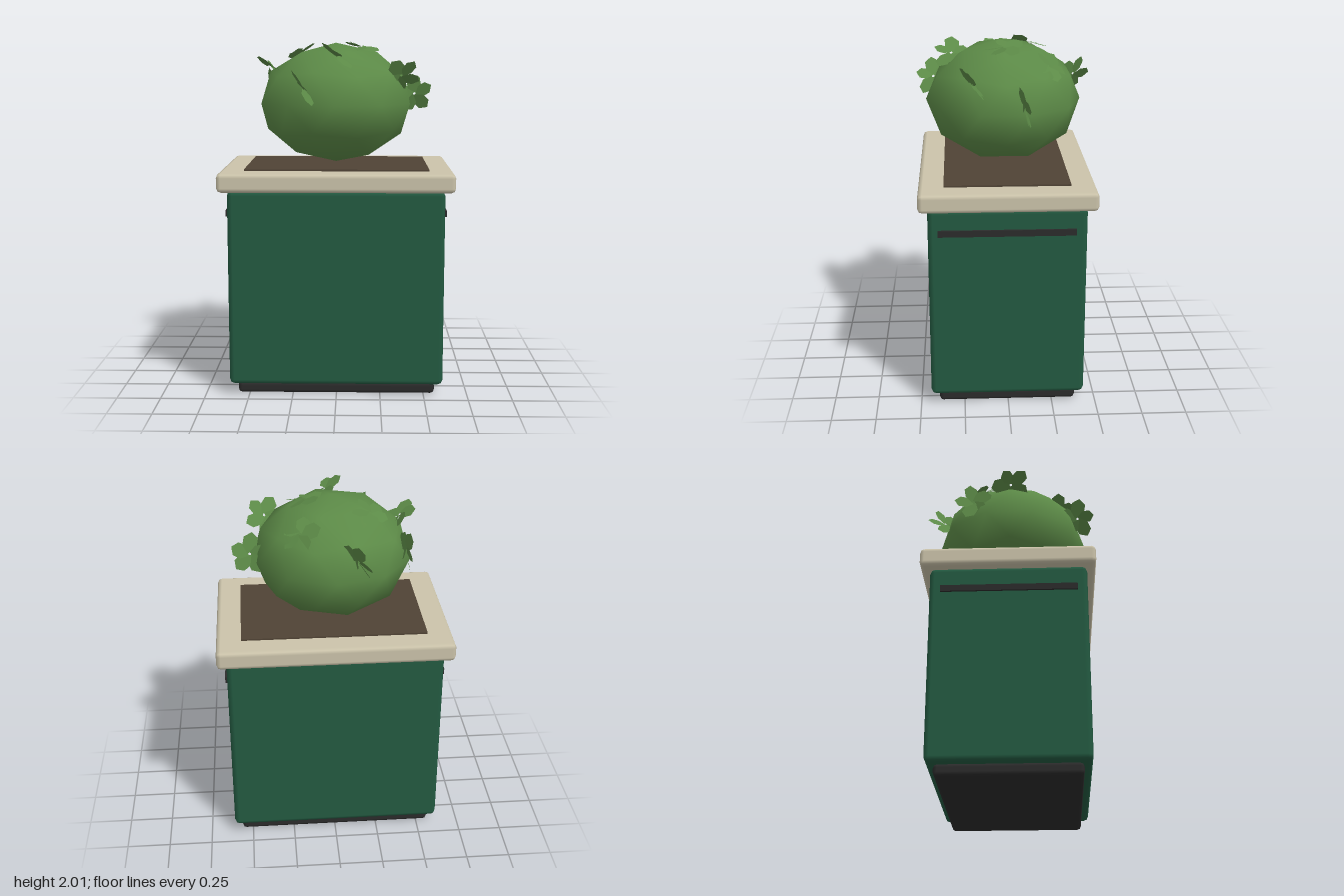
import * as THREE from 'three';
import { RoundedBoxGeometry } from 'three/addons/geometries/RoundedBoxGeometry.js';
import { mergeVertices, mergeGeometries } from 'three/addons/utils/BufferGeometryUtils.js';

const material = (color, extra = {}) => new THREE.MeshStandardMaterial({ color, ...extra });

function addMesh(parent, name, geometry, mat) {
  const mesh = new THREE.Mesh(geometry, mat);
  mesh.name = name;
  parent.add(mesh);
  return mesh;
}

// Chamfered box given by its lower and upper corners
function chamferedBox(parent, name, min, max, bevel, mat) {
  const size = max.map((v, i) => v - min[i]);
  const mesh = addMesh(parent, name, new RoundedBoxGeometry(...size, 1, bevel), mat);
  mesh.position.set(...max.map((v, i) => (v + min[i]) / 2));
  return mesh;
}

// Low-poly ball with a vertex pointing straight up, smooth normals
function foliageGeometry() {
  const ball = new THREE.IcosahedronGeometry(1, 1);
  ball.deleteAttribute('uv');
  ball.deleteAttribute('normal');
  const geometry = mergeVertices(ball, 1e-4);
  geometry.rotateZ(-Math.atan(2 / (1 + Math.sqrt(5))));
  geometry.scale(0.45, 0.347, 0.445);
  geometry.computeVertexNormals();
  return geometry;
}

// Five ragged leaves fanned around a centre, facing +z
function leafClusterGeometry() {
  const outline = [[0, -0.012], [0.045, -0.042], [0.09, -0.036], [0.113, 0.006], [0.08, 0.042], [0.035, 0.036]];
  const shape = new THREE.Shape(outline.map(([x, y]) => new THREE.Vector2(x, y)));
  const leaves = [];
  for (let i = 0; i < 5; i++) {
    const leaf = new THREE.ShapeGeometry(shape);
    const size = 1 + 0.1 * Math.sin(i * 2.3);
    leaf.scale(size, size, 1);
    leaf.rotateX(0.25);
    leaf.rotateY(0.15 * Math.cos(i * 1.9));
    leaf.rotateZ((i * Math.PI * 2) / 5 + 0.2);
    leaves.push(leaf);
  }
  return mergeGeometries(leaves);
}

export function createModel() {
  const model = new THREE.Group();
  model.name = 'planter';
  const green = material(0x235a41);
  const dark = material(0x2b2b2b);
  const stone = material(0xcbc3aa);
  const soilBrown = material(0x504335);
  const foliageGreen = material(0x5c8a47);
  const leafGreen = material(0x5c8a47, { side: THREE.DoubleSide });

  // Planter box
  chamferedBox(model, 'plinth', [-0.567, 0, -0.385], [0.563, 0.067, 0.395], 0.022, dark);
  chamferedBox(model, 'body', [-0.612, 0.065, -0.431], [0.608, 1.185, 0.441], 0.028, green);
  chamferedBox(model, 'rim', [-0.665, 1.18, -0.485], [0.661, 1.287, 0.491], 0.025, stone);
  const soil = addMesh(model, 'soil', new THREE.BoxGeometry(1.044, 0.03, 0.696), soilBrown);
  soil.position.set(0, 1.281, 0.003);

  // Grip strips on both ends
  for (const side of [-1, 1]) {
    const grip = addMesh(model, side > 0 ? 'leftGrip' : 'rightGrip', new THREE.BoxGeometry(0.03, 0.036, 0.755), dark);
    grip.position.set(side * 0.607 - 0.002, 1.052, 0.008);
  }

  // Shrub
  const shrub = new THREE.Group();
  shrub.name = 'shrub';
  model.add(shrub);
  addMesh(shrub, 'foliage', foliageGeometry(), foliageGreen).position.set(-0.01, 1.653, 0.005);

  // Leaf clusters: centre, facing direction, spin
  const clusters = [
    [[-0.12, 1.77, -0.41], [0.82, -0.4, -0.45], 0.3],
    [[-0.18, 1.75, 0.41], [0.8, 0.6, 0.05], 0.8],
    [[-0.395, 1.865, 0.01], [-0.66, -0.74, 0.1], 0.1],
    [[-0.405, 1.74, -0.21], [0.99, 0, -0.1], 1.1],
    [[-0.21, 1.945, -0.15], [-0.35, 0.88, -0.3], 0.5],
    [[0.18, 1.875, -0.25], [0.4, 0.78, -0.48], 0.9],
    [[0.455, 1.7, -0.095], [0.05, -0.18, 0.98], 0.2],
    [[0.365, 1.815, 0.185], [0.1, -0.57, 0.82], 0.6],
    [[0.01, 1.925, 0.3], [0.57, 0.82, 0], 1.0],
    [[0.14, 1.977, 0.005], [0.15, 0.98, 0.08], 0.4],
  ];
  const clusterGeometry = leafClusterGeometry();
  const forward = new THREE.Vector3(0, 0, 1);
  for (const [centre, facing, spin] of clusters) {
    const cluster = addMesh(shrub, 'leafCluster', clusterGeometry, leafGreen);
    cluster.position.set(...centre);
    cluster.quaternion.setFromUnitVectors(forward, new THREE.Vector3(...facing).normalize());
    cluster.rotateZ(spin);
  }
  return model;
}
